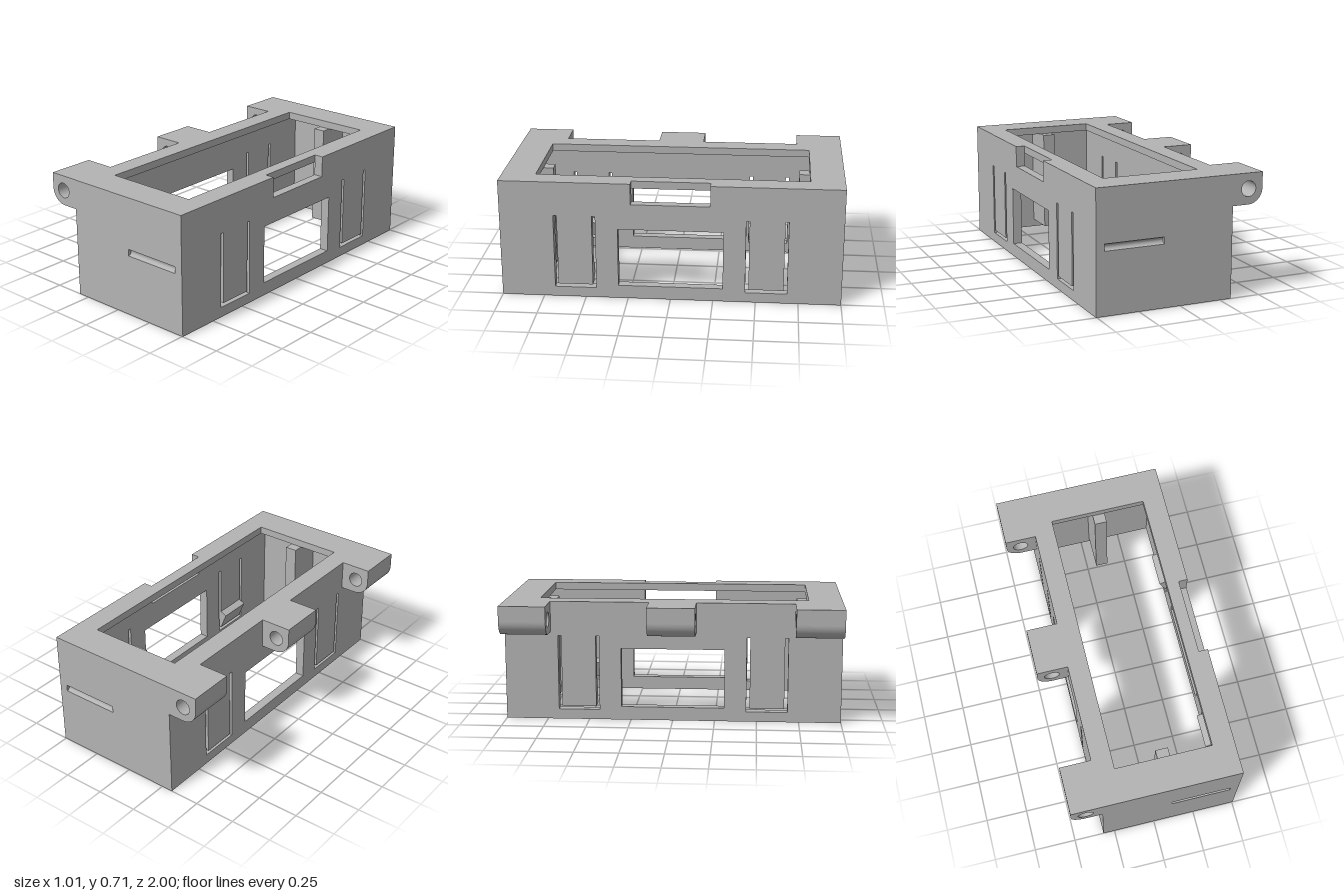
import * as THREE from 'three';

const X0 = -0.32, X1 = 0.505, H = 0.715, LIP = 0.67, SIDE = 0.055, END = 0.05;

const poly = (Type, pts) => new Type(pts.map(([a, b]) => new THREE.Vector2(a, b)));
const rect = (Type, a0, b0, a1, b1) => poly(Type, [[a0, b0], [a1, b0], [a1, b1], [a0, b1]]);
const extrude = (shape, depth) =>
  new THREE.ExtrudeGeometry(shape, { depth, bevelEnabled: false, curveSegments: 24 });
// Profile drawn in (z, y), running from xOuter towards -x
const alongX = (shape, xOuter, depth) =>
  extrude(shape, depth).rotateY(-Math.PI / 2).translate(xOuter, 0, 0);

export function createModel() {
  const group = new THREE.Group();
  const plastic = new THREE.MeshStandardMaterial({ color: 0xb3b3b3 });
  plastic.name = 'grey plastic';
  const add = (name, geometry) => {
    const mesh = new THREE.Mesh(geometry, plastic);
    mesh.name = name;
    group.add(mesh);
  };

  // Top rim with the large opening and a latch notch on the +x edge
  const rim = poly(THREE.Shape, [
    [X0, -1], [X1, -1], [X1, -0.23], [0.45, -0.23], [0.45, 0.23], [X1, 0.23], [X1, 1], [X0, 1]]);
  rim.holes.push(rect(THREE.Path, -0.2, -0.8, 0.375, 0.8));
  add('topRim', extrude(rim, H - LIP).rotateX(Math.PI / 2).translate(0, H, 0));

  // Long walls with a window and two U-shaped slits that free the snap tabs
  const zEnd = 1 - END;
  for (const s of [1, -1]) {
    const outline = [[-zEnd, 0], [zEnd, 0], [zEnd, LIP]];
    if (s > 0) outline.push([0.23, LIP], [0.23, 0.59], [-0.23, 0.59], [-0.23, LIP]);
    outline.push([-zEnd, LIP]);
    const wall = poly(THREE.Shape, outline);
    wall.holes.push(rect(THREE.Path, -0.307, 0.08, 0.307, 0.435));
    for (const m of [1, -1]) {
      wall.holes.push(poly(THREE.Path, [
        [0.438, 0.06], [0.683, 0.06], [0.683, 0.51], [0.663, 0.51],
        [0.663, 0.08], [0.458, 0.08], [0.458, 0.51], [0.438, 0.51]].map(([z, y]) => [m * z, y])));
    }
    add(s > 0 ? 'leftWall' : 'rightWall', alongX(wall, s > 0 ? X1 : X0 + SIDE, SIDE));

    // Wedge hooks on the inner faces of the snap tabs
    const inner = s > 0 ? X1 - SIDE : X0 + SIDE;
    for (const m of [1, -1]) {
      const hook = poly(THREE.Shape, [[inner, 0.08], [inner - s * 0.04, 0.18], [inner, 0.2]]);
      add('snapHook', extrude(hook, 0.205).translate(0, 0, m * 0.5605 - 0.1025));
    }
  }

  for (const s of [1, -1]) {
    // End wall with a concave finger groove
    const wall = rect(THREE.Shape, X0, 0, X1, LIP);
    wall.holes.push(rect(THREE.Path, 0.1, 0.365, 0.455, 0.405));
    add('endWall', extrude(wall, END).translate(0, 0, s > 0 ? 1 - END : -1));

    const pts = [[s * zEnd, 0.365]];
    for (let i = 0; i <= 16; i++) {
      const a = Math.PI * i / 16;
      pts.push([s * (1 - 0.02 * Math.sin(a)), 0.385 - 0.02 * Math.cos(a)]);
    }
    pts.push([s * zEnd, 0.405]);
    add('endGroove', alongX(poly(THREE.Shape, pts), 0.455, 0.355));

    // Guide post inside each end, below the rim
    const post = new THREE.BoxGeometry(0.075, 0.62, zEnd - 0.74);
    add('guidePost', post.translate(0.0925, LIP - 0.31, s * (zEnd + 0.74) / 2));
  }

  // Hinge lugs with a pin bore
  const lug = new THREE.Shape();
  lug.moveTo(X0, H);
  lug.lineTo(-0.505, H);
  lug.lineTo(-0.505, 0.624);
  lug.absarc(-0.416, 0.624, 0.089, Math.PI, Math.PI * 1.5, false);
  lug.lineTo(X0, 0.535);
  lug.closePath();
  lug.holes.push(new THREE.Path().absarc(-0.418, 0.625, 0.045, 0, Math.PI * 2, true));
  for (const [z0, z1] of [[-1, -0.725], [-0.14, 0.14], [0.72, 1]]) {
    add('hingeLug', extrude(lug, z1 - z0).translate(0, 0, z0));
  }
  return group;
}
